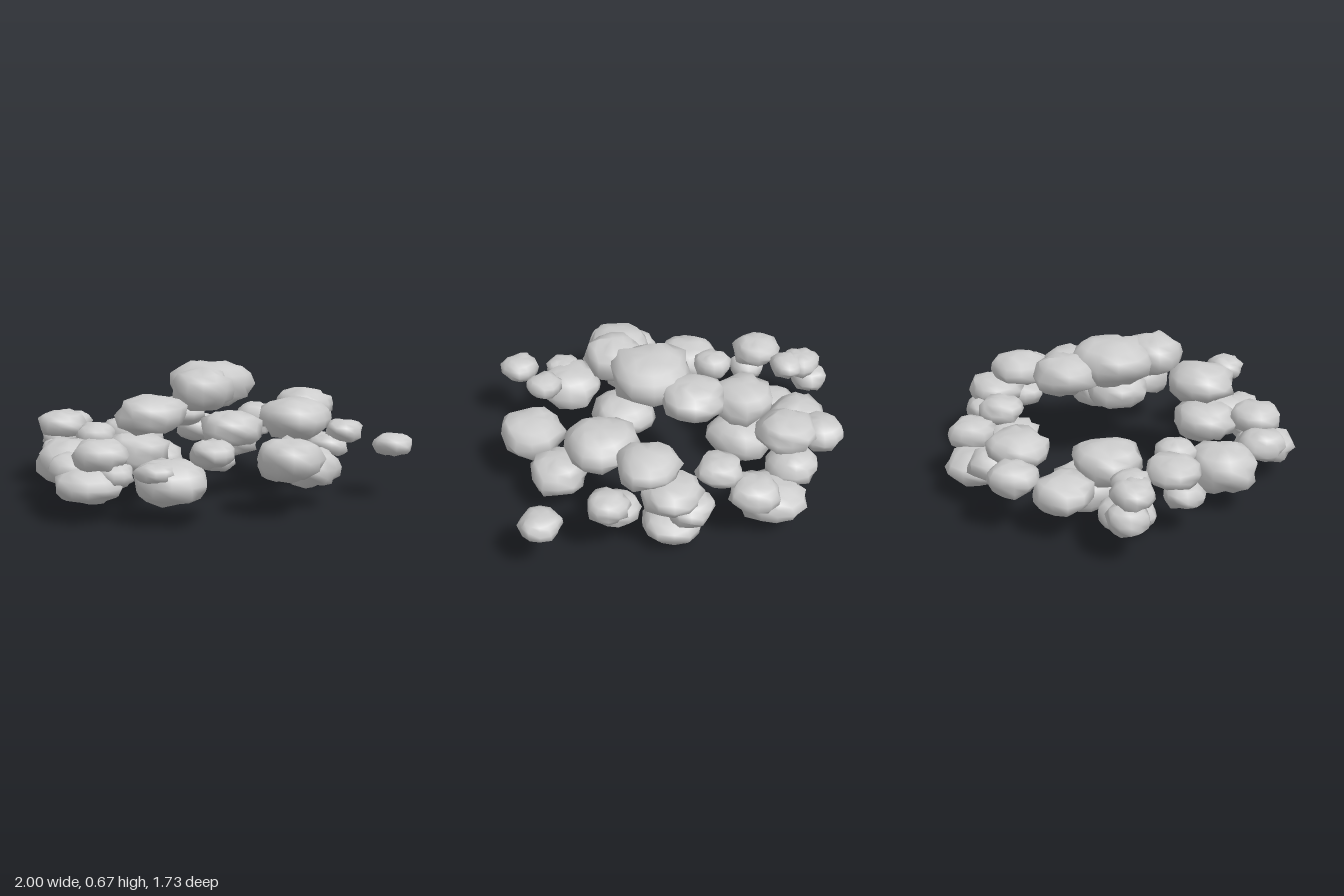
import * as THREE from 'three';
import { mergeVertices } from 'three/addons/utils/BufferGeometryUtils.js';

// Each lump: x, y, z, horizontal radius, vertical radius
const CLUSTERS = {
  centralMound: [
    [0.07, 0.55, -0.02, 0.205, 0.115], [0.14, 0.55, 0.21, 0.145, 0.1], [0, 0.52, -0.26, 0.16, 0.09],
    [0.2, 0.34, 0.03, 0.155, 0.085], [-0.02, 0.445, 0.42, 0.165, 0.09], [-0.1, 0.27, 0.42, 0.155, 0.09],
  ],
  backArc: [
    [-0.15, 0.14, -0.71, 0.165, 0.08], [-0.02, 0.25, -0.73, 0.12, 0.07], [0.07, 0.325, -0.58, 0.11, 0.065],
    [-0.32, 0.22, -0.64, 0.125, 0.075], [-0.56, 0.26, -0.57, 0.12, 0.075], [-0.38, 0.32, -0.53, 0.15, 0.08],
    [-0.62, 0.2, -0.35, 0.145, 0.085],
  ],
  rightArc: [
    [-0.36, 0.1, -0.21, 0.17, 0.1], [-0.43, 0.24, -0.12, 0.17, 0.1], [-0.9, 0.2, -0.11, 0.1, 0.065],
    [-0.86, 0.29, -0.08, 0.1, 0.065], [-0.77, 0.3, -0.07, 0.09, 0.055], [-0.67, 0.1, -0.07, 0.135, 0.07],
    [-0.72, 0.315, 0.13, 0.13, 0.065], [-0.7, 0.185, 0.18, 0.095, 0.06],
    [-0.47, 0.28, 0.19, 0.1, 0.065], [-0.47, 0.19, 0.42, 0.165, 0.11],
  ],
  frontArc: [
    [-0.29, 0.21, 0.66, 0.12, 0.07], [-0.14, 0.285, 0.67, 0.13, 0.075], [-0.17, 0.155, 0.71, 0.155, 0.08],
    [0.18, 0.18, 0.59, 0.17, 0.1], [0.16, 0.235, 0.69, 0.09, 0.045], [0.37, 0.29, 0.52, 0.09, 0.055],
    [0.43, 0.34, 0.67, 0.1, 0.06], [-0.07, 0.2, 0.66, 0.09, 0.06],
  ],
  leftArc: [
    [0.6, 0.26, 0.24, 0.16, 0.1], [0.61, 0.18, -0.01, 0.14, 0.09], [0.46, 0.385, -0.17, 0.175, 0.1],
    [0.39, 0.42, -0.46, 0.15, 0.08], [0.35, 0.33, -0.59, 0.14, 0.07], [0.29, 0.25, -0.64, 0.11, 0.065],
    [0.61, 0.29, -0.46, 0.1, 0.06], [0.54, 0.22, -0.43, 0.105, 0.06], [0.3, 0.09, -0.52, 0.15, 0.07],
  ],
  outlyingLump: [[0.9, 0.26, -0.36, 0.098, 0.055]],
};

function seeded(seed) {
  let s = seed * 7919 + 17;
  return () => {
    s = (s * 16807) % 2147483647;
    return s / 2147483647;
  };
}

// Squashed, full-bodied ball with uneven ridges, sharing vertices for smooth shading
function lumpGeometry(rx, ry, seed) {
  const ball = new THREE.SphereGeometry(1, 12, 8);
  ball.deleteAttribute('uv');
  ball.deleteAttribute('normal');
  const geo = mergeVertices(ball, 1e-4);
  const rand = seeded(seed);
  for (let i = 0; i < 5; i++) rand();
  const phase = rand() * 6.28;
  const pos = geo.attributes.position;
  for (let i = 0; i < pos.count; i++) {
    const x = pos.getX(i), y = pos.getY(i), z = pos.getZ(i);
    const h = Math.hypot(x, z);
    const wave = 0.05 * Math.sin(3 * Math.atan2(z, x) + phase + 2 * y);
    const k = 0.88 + 0.2 * rand() + wave * h;
    const wide = k * rx * Math.pow(Math.max(h, 1e-3), -0.15);
    const fullY = Math.sign(y) * Math.pow(Math.abs(y), 0.85);
    pos.setXYZ(i, x * wide, fullY * k * ry, z * wide);
  }
  geo.computeVertexNormals();
  return geo;
}

export function createModel() {
  const model = new THREE.Group();
  model.name = 'lumpRing';
  const grey = new THREE.MeshStandardMaterial({ color: 0xcccccc });
  grey.name = 'light grey';

  let seed = 1;
  for (const [name, lumps] of Object.entries(CLUSTERS)) {
    const cluster = new THREE.Group();
    cluster.name = name;
    lumps.forEach(([x, y, z, rx, ry], i) => {
      const lump = new THREE.Mesh(lumpGeometry(rx, ry, seed++), grey);
      lump.name = `lump${i + 1}`;
      lump.position.set(x, y, z);
      cluster.add(lump);
    });
    model.add(cluster);
  }
  return model;
}
